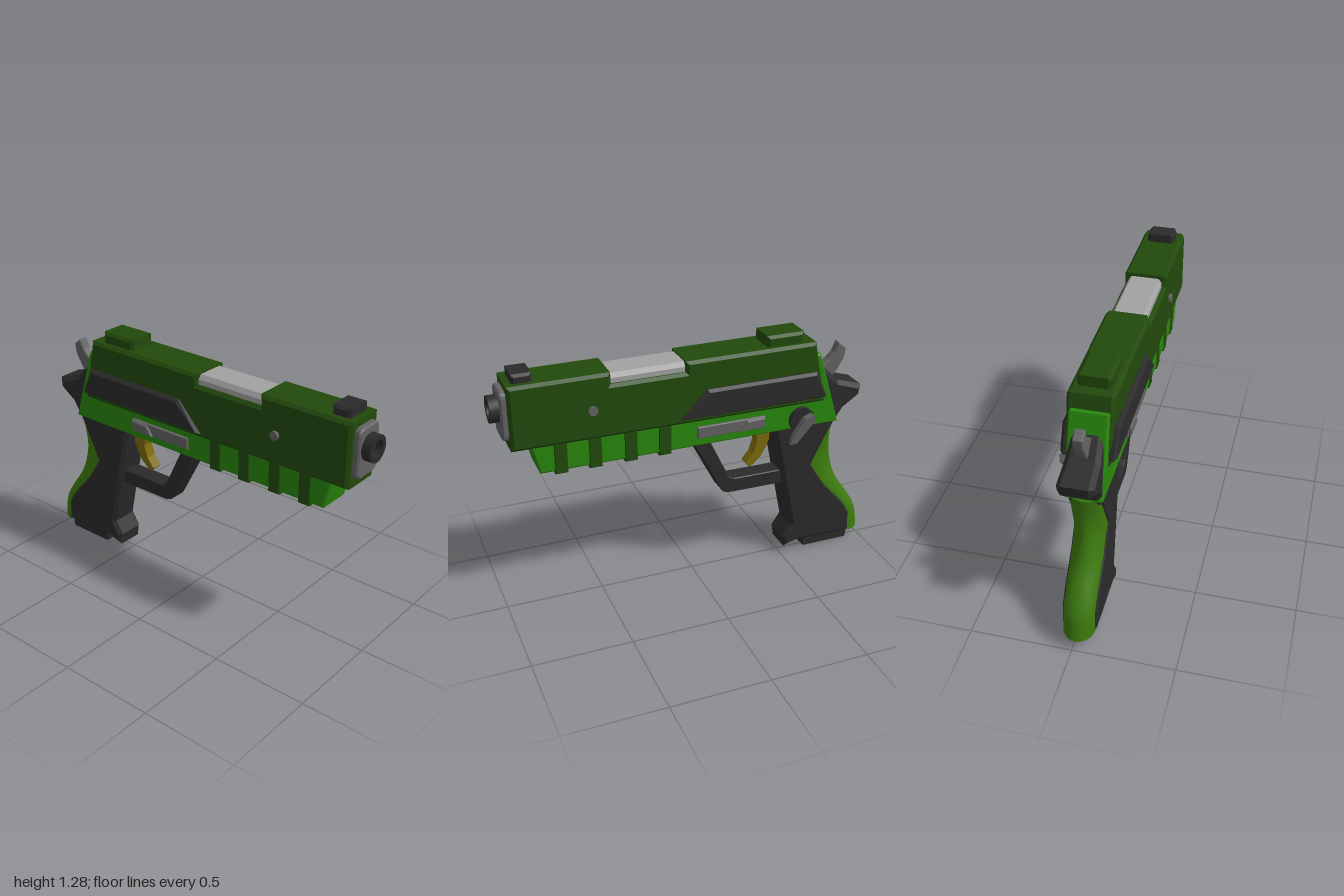
import * as THREE from 'three';
import { toCreasedNormals } from 'three/addons/utils/BufferGeometryUtils.js';

const mat = (name, color) => Object.assign(new THREE.MeshStandardMaterial({ color }), { name });
const M = {
  darkGreen: mat('dark green', 0x224a0c),
  green: mat('bright green', 0x29880c),
  gripGreen: mat('grip green', 0x3c7a0e),
  charcoal: mat('charcoal', 0x2b2b2c),
  grey: mat('grey', 0x636363),
  silver: mat('silver', 0xa2a2a2),
  olive: mat('olive yellow', 0x7c6b0a),
};

// Extrudes an outline along z between two depths, with chamfered edges kept inside the outline.
function slab(points, from, to, bevel) {
  const shape = new THREE.Shape(points.map(([a, b]) => new THREE.Vector2(a, b)));
  const geo = new THREE.ExtrudeGeometry(shape, {
    depth: to - from - 2 * bevel, bevelEnabled: bevel > 0, bevelSegments: 1,
    bevelSize: bevel, bevelThickness: bevel, bevelOffset: -bevel,
  });
  return geo.translate(0, 0, from + bevel);
}

// Side outline given as [z, y], extruded across x.
const side = (points, x0, x1, bevel = 0) => slab(points, -x1, -x0, bevel).rotateY(-Math.PI / 2);
const centred = (points, half, bevel = 0) => side(points, -half, half, bevel);
const rect = (a0, a1, b0, b1) => [[a0, b0], [a1, b0], [a1, b1], [a0, b1]];

// Rectangle outline with rounded corners.
function roundRect(a0, a1, b0, b1, r) {
  const centres = [[a1 - r, b1 - r], [a0 + r, b1 - r], [a0 + r, b0 + r], [a1 - r, b0 + r]];
  return centres.flatMap(([a, b], q) => [0, 1, 2, 3].map((i) => {
    const t = (q + i / 3) * Math.PI / 2;
    return [a + r * Math.cos(t), b + r * Math.sin(t)];
  }));
}

// Rewrites x from x and y.
function reshapeX(geo, rule) {
  const p = geo.attributes.position;
  for (let i = 0; i < p.count; i++) p.setX(i, rule(p.getX(i), p.getY(i)));
  geo.computeVertexNormals();
  return geo;
}

// Rounded back strip: half-ellipse sections swept down the grip.
function backstrapGeometry() {
  const curve = (pts) => new THREE.CatmullRomCurve3(pts.map(([z, y]) => new THREE.Vector3(0, y, z)));
  const inner = curve([
    [-0.75, 0.75], [-0.715, 0.655], [-0.65, 0.525], [-0.73, 0.4], [-0.85, 0.265], [-0.9, 0.185], [-0.905, 0.06],
  ]);
  const outer = curve([
    [-0.788, 0.75], [-0.785, 0.655], [-0.8, 0.525], [-0.838, 0.4], [-0.928, 0.265], [-0.972, 0.185], [-0.997, 0.06],
  ]);
  const rows = 24, cols = 14, pos = [], idx = [];
  for (let i = 0; i <= rows; i++) {
    const a = inner.getPoint(i / rows), b = outer.getPoint(i / rows);
    for (let j = 0; j <= cols; j++) {
      const t = (j / cols) * Math.PI, s = Math.sin(t);
      pos.push(0.076 * Math.cos(t), a.y + (b.y - a.y) * s, a.z + (b.z - a.z) * s);
      if (i < rows && j < cols) {
        const k = i * (cols + 1) + j, n = k + cols + 1;
        idx.push(k, n, k + 1, k + 1, n, n + 1);
      }
    }
  }
  // top and bottom caps
  const base = rows * (cols + 1);
  for (let j = 1; j < cols; j++) idx.push(0, j, j + 1, base, base + j + 1, base + j);
  const geo = new THREE.BufferGeometry();
  geo.setAttribute('position', new THREE.Float32BufferAttribute(pos, 3));
  geo.setIndex(idx);
  return toCreasedNormals(geo, 0.7);
}

export function createModel() {
  const root = new THREE.Group();
  root.name = 'model';
  const body = new THREE.Group();
  body.name = 'body';
  body.position.x = -0.016;
  root.add(body);
  const add = (name, geo, material) => {
    const mesh = new THREE.Mesh(geo, material);
    mesh.name = name;
    body.add(mesh);
  };

  // Slide with the port cut into its top
  add('slide', centred([
    [0.925, 0.905], [0.925, 1.23], [0.436, 1.23], [0.436, 1.17], [0.06, 1.17],
    [0.06, 1.225], [-0.635, 1.225], [-0.7, 0.897],
  ], 0.108, 0.015), M.darkGreen);
  add('portBlock', slab([
    [-0.086, 1.1], [0.086, 1.1], [0.086, 1.195], [0.07, 1.217], [-0.07, 1.217], [-0.086, 1.195],
  ], 0.05, 0.43, 0), M.silver);

  // Muzzle end
  add('frontPlate', slab(roundRect(-0.08, 0.08, 0.95, 1.197, 0.03), 0.9, 0.955, 0.008), M.grey);
  const tube = [[0.066, 0.93], [0.066, 1], [0.042, 1], [0.042, 0.965], [0, 0.965]];
  const barrel = new THREE.LatheGeometry(tube.map(([r, h]) => new THREE.Vector2(r, h)), 24);
  add('barrel', toCreasedNormals(barrel.rotateX(Math.PI / 2).translate(0, 1.095, 0), 0.6), M.charcoal);

  // Sights
  add('frontSight', centred(rect(0.797, 0.893, 1.2, 1.273), 0.07, 0.012), M.charcoal);
  add('rearSight', centred(rect(-0.578, -0.378, 1.2, 1.28), 0.077, 0.014), M.darkGreen);

  // Frame and its ribs
  add('frame', centred([
    [0.837, 0.93], [0.795, 0.762], [-0.79, 0.762], [-0.67, 1.153], [-0.6, 1.153], [-0.6, 0.93],
  ], 0.092, 0.008), M.green);
  for (const z of [0.692, 0.522, 0.343, 0.168]) {
    add('rib', centred(rect(z - 0.032, z + 0.032, 0.748, 0.915), 0.096, 0.004), M.darkGreen);
  }

  // Parts repeated on both sides
  for (const s of [-1, 1]) {
    const pair = (name, points, x0, x1, bevel, material) =>
      add(name, s > 0 ? side(points, x0, x1, bevel) : side(points, -x1, -x0, bevel), material);
    pair('sidePanel', [[0.09, 0.928], [-0.045, 1.072], [-0.64, 1.072], [-0.7, 0.928]], 0.085, 0.13, 0.014, M.charcoal);
    pair('catchPlate', rect(0, -0.365, 0.808, 0.87), 0.08, 0.106, 0.004, M.grey);
    pair('catchButton', [[-0.225, 0.811], [-0.262, 0.864], [-0.363, 0.867], [-0.355, 0.811]], 0.09, 0.118, 0.006, M.grey);
    const pin = new THREE.CylinderGeometry(0.023, 0.023, 0.03, 12).rotateZ(Math.PI / 2);
    add('pin', toCreasedNormals(pin.translate(s * 0.107, 1.056, 0.53), 0.7), M.grey);
  }

  // Lever on the left side only
  const hub = new THREE.CylinderGeometry(0.067, 0.067, 0.04, 20).rotateZ(Math.PI / 2);
  add('leverHub', toCreasedNormals(hub.translate(0.097, 0.815, -0.57), 0.6), M.charcoal);
  const lever = side([
    [-0.57, 0.835], [-0.615, 0.852], [-0.626, 0.82], [-0.53, 0.702], [-0.493, 0.7], [-0.508, 0.745],
  ], -1, 1);
  add('lever', reshapeX(lever, (x, y) => {
    const t = (0.85 - y) / 0.15;
    return x > 0 ? 0.158 - 0.015 * t : 0.108 + 0.016 * t;
  }), M.grey);

  // Trigger and guard
  add('triggerGuard', centred([
    [0.015, 0.78], [-0.15, 0.465], [-0.165, 0.445], [-0.195, 0.433], [-0.53, 0.43],
    [-0.53, 0.51], [-0.225, 0.512], [-0.195, 0.53], [-0.075, 0.78],
  ], 0.049, 0.005), M.charcoal);
  add('trigger', centred([
    [-0.34, 0.78], [-0.43, 0.78], [-0.428, 0.69], [-0.412, 0.65], [-0.38, 0.597],
    [-0.323, 0.55], [-0.297, 0.575], [-0.337, 0.625], [-0.357, 0.69],
  ], 0.03, 0.004), M.olive);

  // Grip
  add('grip', centred([
    [-0.428, 0.79], [-0.555, 0.175], [-0.51, 0.105], [-0.52, 0.04], [-0.595, 0.065], [-0.92, 0.06],
    [-0.915, 0.185], [-0.865, 0.265], [-0.745, 0.4], [-0.665, 0.525], [-0.73, 0.655], [-0.785, 0.765], [-0.75, 0.79],
  ], 0.083, 0.018), M.charcoal);
  add('backstrap', backstrapGeometry(), M.gripGreen);
  add('gripBase', centred([
    [-0.64, 0.015], [-0.655, 0], [-0.91, 0], [-0.92, 0.012], [-0.92, 0.08], [-0.64, 0.08],
  ], 0.054, 0.01), M.charcoal);

  // Tang narrowing slightly toward the hammer
  const tang = centred([
    [-0.66, 0.74], [-0.76, 0.74], [-0.795, 0.775], [-0.83, 0.825], [-0.918, 0.885], [-0.925, 0.94],
    [-0.79, 0.985], [-0.705, 1.065], [-0.66, 1.0],
  ], 0.085, 0.022);
  add('tang', reshapeX(tang, (x, y) => x * (1 - 0.2 * THREE.MathUtils.clamp((y - 0.94) / 0.12, 0, 1))), M.charcoal);
  add('hammer', centred([
    [-0.71, 1.055], [-0.755, 1.088], [-0.785, 1.12], [-0.807, 1.17], [-0.85, 1.137],
    [-0.842, 1.085], [-0.81, 1.03], [-0.765, 0.97],
  ], 0.024, 0.005), M.grey);

  return root;
}
